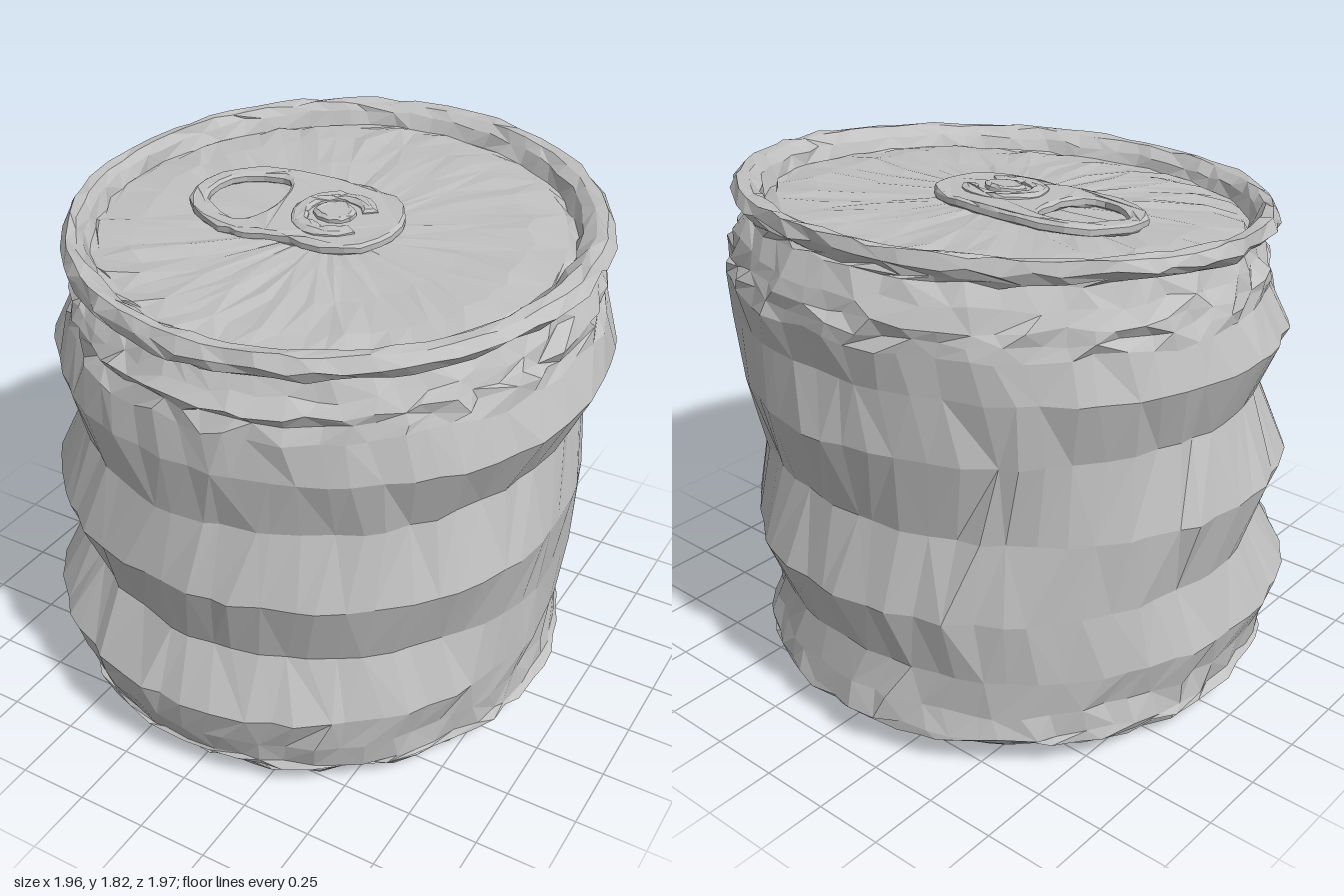
import * as THREE from 'three';

const SEG = 64;
const metal = new THREE.MeshStandardMaterial({ color: 0xc0c0c0, flatShading: true });
metal.name = 'dull aluminium';

// Repeatable noise in -1..1
function noise(a, b) {
  const s = Math.sin(a * 127.1 + b * 311.7 + 17.3) * 43758.5453;
  return (s - Math.floor(s)) * 2 - 1;
}

// A ring is [front y, back y, front r, left r, back r, right r, radial crumple, vertical crumple].
// Radii and heights blend smoothly between the four directions.
function ringPoints([yF, yB, f, l, b, r, jr = 0.012, jy = 0.006]) {
  const key = yF * 7.31 + f * 3.17;
  const step = (Math.PI * 2) / SEG;
  const points = [];
  for (let j = 0; j < SEG; j++) {
    const t = step * (j + noise(key, 99) * 0.6 + noise(key, j + 200) * 0.3);
    const c = Math.cos(t), s = Math.sin(t);
    const rad = (f + l + b + r) / 4 + ((f - b) / 2) * c + ((l - r) / 2) * s
      + ((f + b - l - r) / 4) * Math.cos(2 * t) + noise(key, j) * jr;
    points.push(rad * s, (yF + yB) / 2 + ((yF - yB) / 2) * c + noise(key + 5, j) * jy, rad * c);
  }
  return points;
}

// Skin of quads through successive rings
function loft(name, rings) {
  const index = [];
  for (let i = 0; i < rings.length - 1; i++) {
    for (let j = 0; j < SEG; j++) {
      const k = (j + 1) % SEG;
      const a = i * SEG + j, b = i * SEG + k, c = a + SEG, d = b + SEG;
      if ((i + j) % 3) index.push(a, b, d, a, d, c);
      else index.push(a, b, c, b, d, c);
    }
  }
  const geo = new THREE.BufferGeometry();
  geo.setAttribute('position', new THREE.Float32BufferAttribute(rings.flatMap(ringPoints), 3));
  geo.setIndex(index);
  geo.computeVertexNormals();
  const mesh = new THREE.Mesh(geo, metal);
  mesh.name = name;
  return mesh;
}

// Flat pull-tab pieces, laid on the lid and slightly crumpled
function plate(name, shape, depth, y) {
  const geo = new THREE.ExtrudeGeometry(shape, {
    depth, bevelEnabled: true, bevelSize: 0.012, bevelThickness: 0.008, bevelSegments: 1, curveSegments: 9,
  });
  geo.rotateX(-Math.PI / 2);
  const p = geo.attributes.position;
  for (let i = 0; i < p.count; i++) {
    const x = p.getX(i), z = p.getZ(i);
    const n = noise(Math.round(x * 200), Math.round(z * 200));
    p.setXYZ(i, x + n * 0.005, p.getY(i) + y + n * 0.004, z - n * 0.005);
  }
  geo.computeVertexNormals();
  const mesh = new THREE.Mesh(geo, metal);
  mesh.name = name;
  return mesh;
}

function ellipse(PathType, x, y, rx, ry) {
  const p = new PathType();
  p.absellipse(x, y, rx, ry, 0, Math.PI * 2, false, 0);
  return p;
}

function pullTab() {
  const tab = new THREE.Group();
  tab.name = 'pullTab';

  // Outline with wide finger loop on the right-hand side
  const outline = new THREE.Shape();
  outline.moveTo(-0.32, -0.21);
  outline.bezierCurveTo(-0.2, -0.22, -0.18, -0.18, 0.06, -0.18);
  outline.bezierCurveTo(0.28, -0.17, 0.28, 0.18, 0.06, 0.21);
  outline.bezierCurveTo(-0.1, 0.22, -0.2, 0.22, -0.32, 0.21);
  outline.bezierCurveTo(-0.61, 0.17, -0.61, -0.17, -0.32, -0.21);
  const hole = new THREE.Path();
  hole.moveTo(-0.3, -0.17);
  hole.bezierCurveTo(-0.18, -0.18, -0.18, 0.18, -0.3, 0.17);
  hole.bezierCurveTo(-0.56, 0.15, -0.56, -0.15, -0.3, -0.17);
  outline.holes.push(hole);
  tab.add(plate('tabPlate', outline, 0.02, 0.015));

  // Raised arc around the rivet
  const arc = new THREE.Shape();
  arc.absarc(0, 0, 0.135, 0.6, 5.6, false);
  arc.absarc(0, 0, 0.105, 5.6, 0.6, true);
  tab.add(plate('rivetSurround', arc, 0.008, 0.04));
  tab.add(plate('rivet', ellipse(THREE.Shape, 0, 0, 0.06, 0.05), 0.015, 0.04));

  tab.position.set(0, 1.695, -0.04);
  tab.rotation.x = 0.085;
  return tab;
}

export function createModel() {
  const can = new THREE.Group();
  can.name = 'crushedCan';

  // Rings shared by neighbouring parts
  const foot = [0.03, 0.03, 0.85, 0.79, 0.79, 0.87, 0.012, 0.01];
  const hem = [0.12, 0.15, 0.92, 0.87, 0.94, 0.93, 0.015, 0.012];
  const shoulder = [1.42, 1.53, 0.90, 0.93, 0.98, 0.90, 0.014, 0.015];
  const neck = [1.60, 1.74, 0.83, 0.85, 0.90, 0.83, 0.012, 0.012];
  const lip = [1.69, 1.83, 0.85, 0.91, 0.91, 0.90, 0.008, 0.007];
  const lidEdge = [1.625, 1.755, 0.72, 0.79, 0.79, 0.81, 0.01, 0.008];

  // Sunken underside
  can.add(loft('base', [
    [0.09, 0.09, 0, 0, 0, 0, 0, 0],
    [0.085, 0.085, 0.25, 0.25, 0.25, 0.25, 0.02, 0.008],
    [0.075, 0.075, 0.52, 0.5, 0.5, 0.53, 0.02, 0.01],
    [0.06, 0.06, 0.79, 0.73, 0.73, 0.81, 0.01, 0.008],
    [0.025, 0.025, 0.82, 0.76, 0.76, 0.84, 0.01, 0.008],
    foot,
  ]));

  // Folded bottom hem
  can.add(loft('bottomHem', [
    foot,
    [0.06, 0.07, 0.88, 0.82, 0.84, 0.88, 0.015, 0.01],
    [0.09, 0.10, 0.87, 0.82, 0.87, 0.87, 0.015, 0.008],
    [0.11, 0.12, 0.93, 0.88, 0.93, 0.94, 0.012, 0.008],
    hem,
  ]));

  // Corrugated wall, its folds out of step between front and back
  can.add(loft('wall', [
    hem,
    [0.22, 0.23, 0.96, 0.85, 0.92, 0.93, 0.015, 0.01],
    [0.345, 0.37, 0.985, 0.87, 0.89, 0.98, 0.014, 0.005],
    [0.56, 0.60, 0.87, 0.88, 0.96, 0.90, 0.014, 0.003],
    [0.81, 0.88, 0.945, 0.92, 0.88, 0.97, 0.012, 0.003],
    [1.06, 1.17, 0.88, 0.87, 0.97, 0.87, 0.014, 0.003],
    [1.28, 1.39, 0.91, 0.98, 0.94, 0.97, 0.012, 0.004],
    shoulder,
  ]));

  // Crinkled neck
  can.add(loft('neck', [
    shoulder,
    [1.47, 1.57, 0.88, 0.92, 0.97, 0.89, 0.02, 0.012],
    [1.505, 1.61, 0.89, 0.91, 0.96, 0.89, 0.018, 0.014],
    [1.55, 1.67, 0.86, 0.88, 0.94, 0.86, 0.015, 0.014],
    neck,
  ]));

  // Rolled top rim
  can.add(loft('topRim', [
    neck,
    [1.615, 1.755, 0.86, 0.90, 0.90, 0.89, 0.01, 0.01],
    [1.65, 1.79, 0.87, 0.94, 0.92, 0.92, 0.01, 0.01],
    lip,
    [1.69, 1.825, 0.81, 0.87, 0.87, 0.87, 0.008, 0.006],
    [1.66, 1.80, 0.77, 0.83, 0.84, 0.85, 0.01, 0.008],
    [1.62, 1.75, 0.75, 0.81, 0.82, 0.83, 0.01, 0.006],
    lidEdge,
  ]));

  // Wrinkled lid
  can.add(loft('lid', [
    lidEdge,
    [1.645, 1.755, 0.63, 0.67, 0.67, 0.68, 0.02, 0.008],
    [1.66, 1.74, 0.45, 0.47, 0.48, 0.48, 0.025, 0.009],
    [1.675, 1.72, 0.24, 0.25, 0.26, 0.25, 0.02, 0.005],
    [1.695, 1.695, 0, 0, 0, 0, 0, 0],
  ]));

  can.add(pullTab());
  return can;
}
